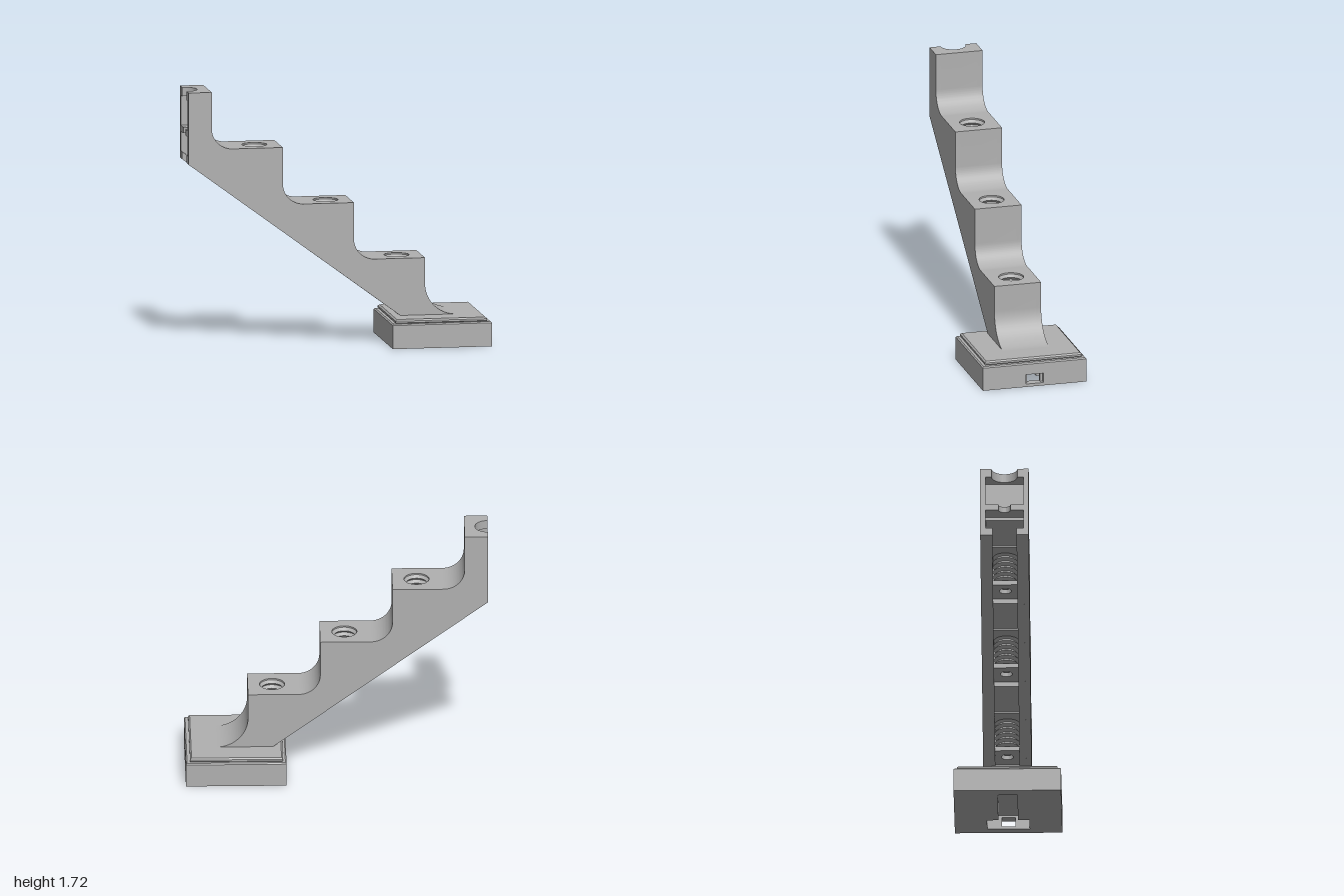
import * as THREE from 'three';
import { toCreasedNormals } from 'three/addons/utils/BufferGeometryUtils.js';

const grey = new THREE.MeshStandardMaterial({ color: 0xb0b0b0, side: THREE.DoubleSide });
grey.name = 'grey plastic';

const STEPS = 4, RUN = 0.477, RISE = 0.382, HALF = 0.16, INNER = 0.125;
const riserX = i => -0.845 + RUN * i;
const topY = i => 1.72 - RISE * i;
const holeX = i => riserX(i) - 0.162;
const filletR = i => (i === STEPS - 1 ? 0.21 : 0.14);

export function createModel() {
  const model = new THREE.Group();
  model.name = 'steppedStand';

  const add = (name, geometry) => {
    const mesh = new THREE.Mesh(toCreasedNormals(geometry, 0.5), grey);
    mesh.name = name;
    model.add(mesh);
  };
  const poly = pts => new THREE.Shape(pts.map(p => new THREE.Vector2(...p)));
  const rect = (x0, x1, y0, y1) => poly([[x0, y0], [x1, y0], [x1, y1], [x0, y1]]);
  const circle = (x, r) => new THREE.Path().absarc(x, 0, r, 0, Math.PI * 2, true);
  // profile in x-y, extruded from z0 to z1
  const across = (shape, z0, z1) =>
    new THREE.ExtrudeGeometry(shape, { depth: z1 - z0, bevelEnabled: false, curveSegments: 20 }).translate(0, 0, z0);
  // outline in plan, extruded from y0 to y1 with an optional bevel
  const slab = (shape, y0, y1, b = 0) =>
    new THREE.ExtrudeGeometry(shape, {
      depth: y1 - y0 - 2 * b, bevelEnabled: b > 0, bevelSize: b, bevelThickness: b,
      bevelOffset: -b, bevelSegments: 1, curveSegments: 24
    }).translate(0, 0, y0 + b).rotateX(-Math.PI / 2);

  // side walls with the full stepped outline
  const side = new THREE.Shape();
  side.moveTo(-1, 1.24);
  side.lineTo(-1, topY(0));
  for (let i = 0; i < STEPS; i++) {
    const r = filletR(i), x = riserX(i), y = topY(i + 1);
    side.lineTo(x, topY(i));
    side.lineTo(x, y + r);
    side.absarc(x + r, y + r, r, Math.PI, Math.PI * 1.5, false);
  }
  side.lineTo(0.42, topY(STEPS));
  add('frontSideWall', across(side, INNER, HALF));
  add('backSideWall', across(side, -HALF, -INNER));

  // rails along the sloping underside, leaving an open channel
  const rail = poly([[-1, 1.24], [0.42, 0.19], [0.42, 0.24], [-1, 1.29]]);
  add('frontRail', across(rail, 0.08, INNER));
  add('backRail', across(rail, -INNER, -0.08));

  for (let i = 0; i < STEPS; i++) {
    const x = riserX(i), y = topY(i), next = topY(i + 1), r = filletR(i), c = holeX(i);

    // riser with its curved foot
    const riser = new THREE.Shape();
    riser.moveTo(x - 0.04, y);
    riser.lineTo(x, y);
    riser.lineTo(x, next + r);
    riser.absarc(x + r, next + r, r, Math.PI, Math.PI * 1.5, false);
    riser.lineTo(x + r, next - 0.04);
    riser.lineTo(x - 0.04, next + 0.06);
    add('riser', across(riser, -INNER, INNER));

    if (i === 0) {
      // the highest socket is cut in half by the end face
      const halfPlate = (r2, x1) => {
        const s = new THREE.Shape();
        s.moveTo(-1, r2);
        s.lineTo(-1, INNER);
        s.lineTo(x1, INNER);
        s.lineTo(x1, -INNER);
        s.lineTo(-1, -INNER);
        s.lineTo(-1, -r2);
        s.absarc(-1, 0, r2, -Math.PI / 2, Math.PI / 2, false);
        return s;
      };
      add('topPlate', slab(halfPlate(0.085, x - 0.04), y - 0.06, y));
      add('socketShelf', slab(halfPlate(0.04, x - 0.03), y - 0.3, y - 0.26));
      continue;
    }

    // tread with a threaded socket and a smaller hole below
    const tread = rect(x - 0.337, x - 0.04, -INNER, INNER);
    tread.holes.push(circle(c, 0.083));
    add('tread', slab(tread, y - 0.05, y));

    const thread = [];
    for (let k = 0; k <= 14; k++) {
      thread.push(new THREE.Vector2(k % 2 ? 0.066 : 0.083, -0.01 - k * 0.018));
    }
    thread.unshift(new THREE.Vector2(0.083, 0));
    add('socketThread', new THREE.LatheGeometry(thread, 40).translate(c, y, 0));

    const shelf = rect(c - 0.1, c + 0.13, -INNER, INNER);
    shelf.holes.push(circle(c, 0.04));
    add('socketShelf', slab(shelf, y - 0.29, y - 0.26));
  }

  // base: lower slab with a cable slot that widens towards the port
  const slot = poly([[0.335, -0.355], [0.94, -0.355], [0.94, -0.14], [0.8, -0.14], [0.8, -0.065],
    [0.41, -0.065], [0.41, 0.065], [0.8, 0.065], [0.8, 0.14], [0.94, 0.14], [0.94, 0.355], [0.335, 0.355]]);
  add('baseBottom', slab(slot, 0, 0.1));

  // base end wall with the port
  const wall = rect(-0.355, 0.355, 0, 0.155);
  wall.holes.push(rect(-0.06, 0.06, 0.02, 0.085));
  add('portWall', across(wall, 0, 0.06).rotateY(Math.PI / 2).translate(0.94, 0, 0));
  for (const s of [-1, 1]) {
    add('portGuide', new THREE.BoxGeometry(0.03, 0.065, 0.015).translate(0.957, 0.0525, s * 0.0525));
  }

  // upper base layers, all pierced by the cable opening
  const pierced = (x0, x1, z) => {
    const s = rect(x0, x1, -z, z);
    s.holes.push(rect(0.424, 0.54, -0.06, 0.06));
    return s;
  };
  add('baseTop', slab(pierced(0.335, 0.94, 0.355), 0.1, 0.155));
  add('baseRim', slab(pierced(0.335, 1, 0.355), 0.147, 0.165, 0.008));
  add('baseLid', slab(pierced(0.358, 0.972, 0.332), 0.16, 0.192, 0.01));

  return model;
}
